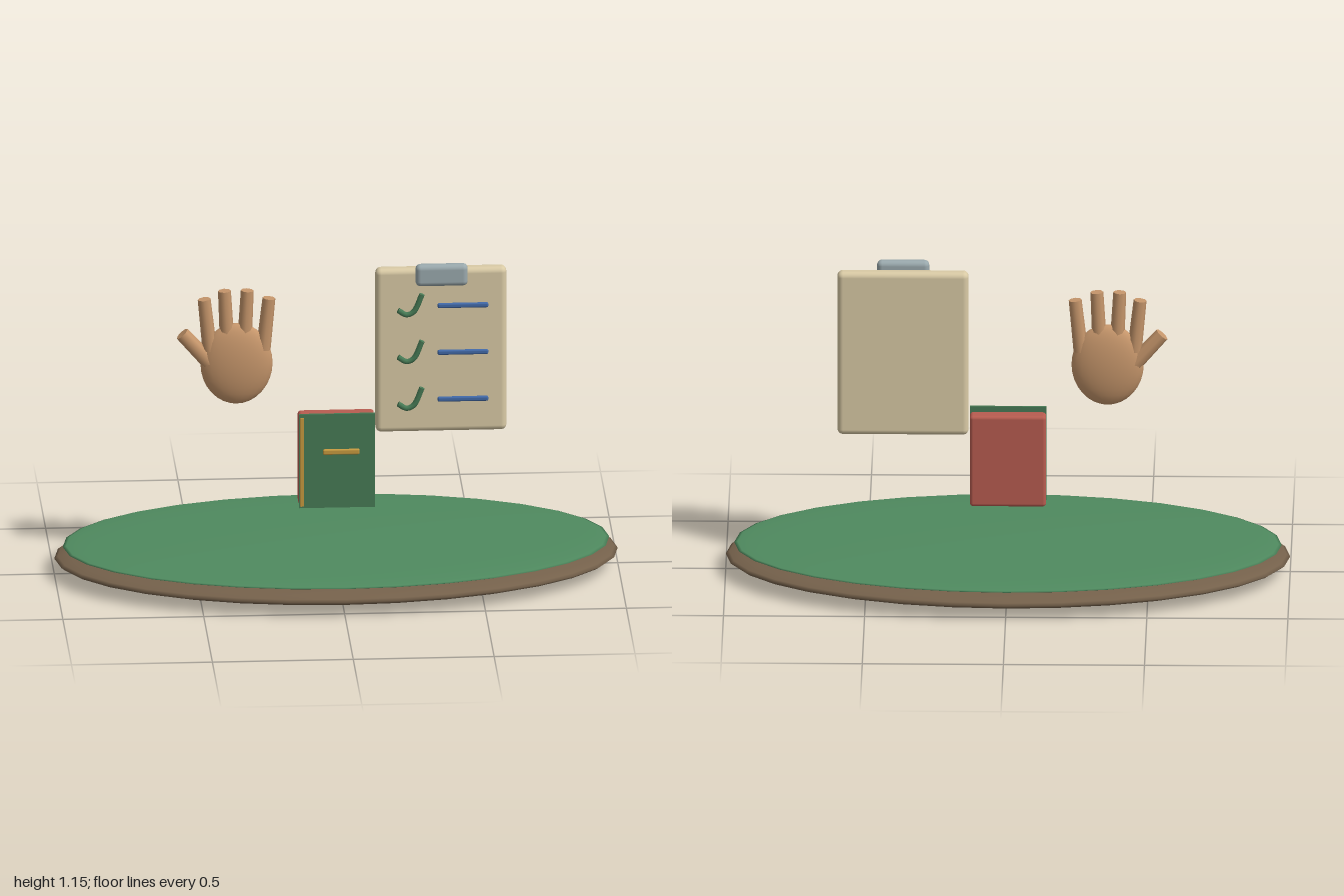
import * as THREE from 'three';
import { RoundedBoxGeometry } from 'three/addons/geometries/RoundedBoxGeometry.js';

const mat = (color) => new THREE.MeshStandardMaterial({ color });
const brown = mat(0x75614b), green = mat(0x4f8a5f), skin = mat(0xc6966b), red = mat(0xb85c50);
const cream = mat(0xd9caa5), paper = mat(0xeee6d2), gold = mat(0xc79a3f);
const darkGreen = mat(0x477a55), steel = mat(0x9aa9ad), blue = mat(0x4169a8);

function add(parent, name, geometry, material, x = 0, y = 0, z = 0) {
  const mesh = new THREE.Mesh(geometry, material);
  mesh.name = name;
  mesh.position.set(x, y, z);
  parent.add(mesh);
  return mesh;
}

function group(parent, name) {
  const g = new THREE.Group();
  g.name = name;
  parent.add(g);
  return g;
}

const ellipsoid = (rx, ry, rz, w = 32, h = 20) => new THREE.SphereGeometry(1, w, h).scale(rx, ry, rz);
const rounded = (w, h, d, r) => new RoundedBoxGeometry(w, h, d, 3, r);

// Tapered finger from a base point to a tip point in the palm plane
function finger(parent, name, x0, y0, x1, y1, rTip, rBase) {
  const length = Math.hypot(x1 - x0, y1 - y0);
  const f = add(parent, name, new THREE.CylinderGeometry(rTip, rBase, length, 8), skin, (x0 + x1) / 2, (y0 + y1) / 2, 0);
  f.rotation.z = Math.atan2(x0 - x1, y1 - y0);
}

export function createModel() {
  const model = new THREE.Group();
  model.name = 'displayStand';

  // Oval base with a green top
  const base = group(model, 'base');
  add(base, 'baseDisc', ellipsoid(1, 0.057, 0.545), brown, 0, 0.06, 0);
  add(base, 'baseTop', ellipsoid(0.97, 0.02, 0.52), green, 0, 0.103, 0);

  // Open hand
  const hand = group(model, 'hand');
  add(hand, 'palm', ellipsoid(0.128, 0.15, 0.046, 24, 16), skin, -0.353, 0.778, 0);
  finger(hand, 'thumb', -0.44, 0.775, -0.546, 0.892, 0.026, 0.03);
  finger(hand, 'indexFinger', -0.448, 0.83, -0.468, 1.02, 0.023, 0.026);
  finger(hand, 'middleFinger', -0.386, 0.85, -0.396, 1.05, 0.023, 0.026);
  finger(hand, 'ringFinger', -0.325, 0.85, -0.315, 1.05, 0.023, 0.026);
  finger(hand, 'littleFinger', -0.258, 0.83, -0.238, 1.02, 0.023, 0.026);

  // Book: back block, pages, front cover and gilt trim
  const book = group(model, 'book');
  add(book, 'backCover', rounded(0.27, 0.34, 0.06, 0.012), red, 0, 0.42, 0);
  add(book, 'pages', rounded(0.24, 0.305, 0.03, 0.006), paper, 0, 0.422, 0.031);
  add(book, 'frontCover', new THREE.BoxGeometry(0.27, 0.35, 0.009), darkGreen, 0, 0.425, 0.053);
  add(book, 'spineTrim', new THREE.BoxGeometry(0.013, 0.33, 0.008), gold, -0.124, 0.423, 0.061);
  add(book, 'titleBar', rounded(0.13, 0.02, 0.012, 0.005), gold, 0.015, 0.46, 0.062);

  // Clipboard with three ticked lines
  const clipboard = group(model, 'clipboard');
  add(clipboard, 'board', rounded(0.465, 0.61, 0.053, 0.02), cream, 0.372, 0.82, 0);
  add(clipboard, 'clip', rounded(0.185, 0.08, 0.042, 0.018), steel, 0.372, 1.11, 0.045);
  const tickPoints = [[-0.045, -0.017], [-0.015, -0.034], [0.01, -0.023], [0.04, 0.042]];
  const tick = new THREE.CatmullRomCurve3(tickPoints.map(([x, y]) => new THREE.Vector3(x, y, 0)));
  for (const y of [0.995, 0.82, 0.645]) {
    const mark = add(clipboard, 'tick', new THREE.TubeGeometry(tick, 16, 0.01, 8), darkGreen, 0.263, y, 0.042);
    // Caps on the open ends of the tick
    for (const t of [0, 1]) {
      const p = tick.getPoint(t);
      const cap = add(mark, 'tickEnd', new THREE.CircleGeometry(0.01, 8), darkGreen, p.x, p.y, 0);
      cap.lookAt(p.clone().addScaledVector(tick.getTangent(t), t ? 1 : -1));
      cap.quaternion.setFromUnitVectors(new THREE.Vector3(0, 0, 1), tick.getTangent(t).multiplyScalar(t ? 1 : -1));
    }
    add(clipboard, 'textLine', rounded(0.18, 0.018, 0.014, 0.006), blue, 0.448, y - 0.002, 0.042);
  }

  return model;
}
